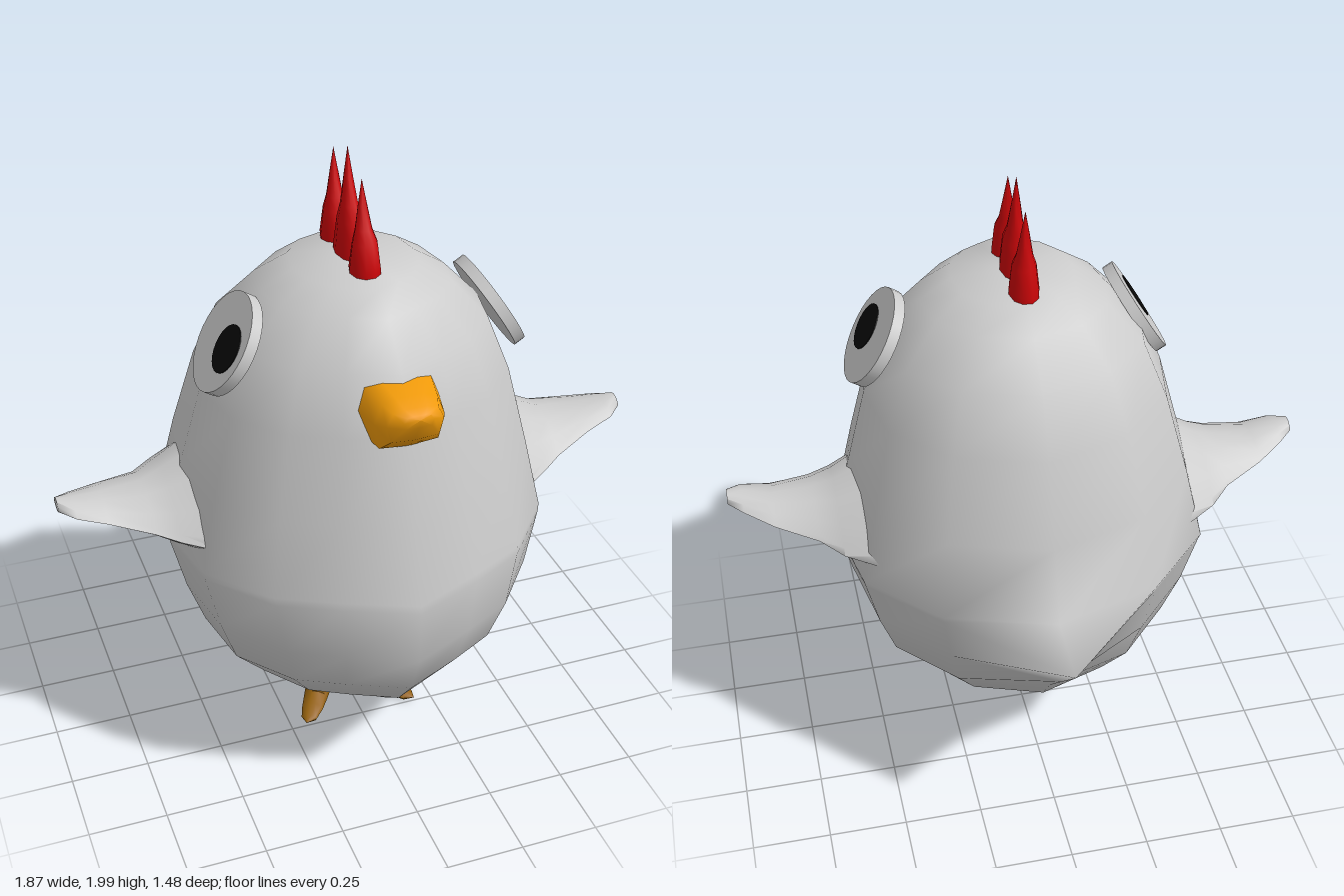
import * as THREE from 'three';
import { toCreasedNormals } from 'three/addons/utils/BufferGeometryUtils.js';

const material = (color) => new THREE.MeshStandardMaterial({ color });
const grey = material(0xcccccc);
const black = material(0x0a0a0a);
const orange = material(0xf09a08);
const brown = material(0x94610f);
const red = material(0xcc0508);

// Skin a closed surface over rings of [x, y, z] points; ends close on the given tips or ring centres.
function loft(rings, { start, end, crease = 1.0 } = {}) {
  const n = rings[0].length;
  const centre = (r) => [0, 1, 2].map((k) => r.reduce((s, p) => s + p[k], 0) / n);
  const pts = [...rings.flat(), start ?? centre(rings[0]), end ?? centre(rings.at(-1))];
  const a = pts.length - 2, b = pts.length - 1, last = (rings.length - 1) * n;
  const tris = [];
  for (let j = 0; j < n; j++) {
    const k = (j + 1) % n;
    tris.push([a, k, j], [b, last + j, last + k]);
    for (let i = 0; i < last; i += n) {
      tris.push([i + j, i + k, i + n + k], [i + j, i + n + k, i + n + j]);
    }
  }
  // Turn the faces outward when the enclosed volume comes out negative
  const v = pts.map((p) => new THREE.Vector3(...p));
  const volume = tris.reduce((s, [p, q, r]) => s + v[p].dot(v[q].clone().cross(v[r])), 0);
  if (volume < 0) tris.forEach((t) => t.reverse());
  const geo = new THREE.BufferGeometry();
  geo.setAttribute('position', new THREE.Float32BufferAttribute(pts.flat(), 3));
  geo.setIndex(tris.flat());
  return toCreasedNormals(geo, crease);
}

const circle = (n, fn) => Array.from({ length: n }, (_, i) => {
  const t = (i / n) * Math.PI * 2;
  return fn(Math.cos(t), Math.sin(t));
});

function part(name, geometry, mat) {
  const mesh = new THREE.Mesh(geometry, mat);
  mesh.name = name;
  return mesh;
}

// Egg-shaped body with a keeled front and a pointed tail
function makeBody() {
  const half = [[0, 1], [0.36, 0.85], [0.65, 0.71], [0.92, 0.4], [1, 0], [0.91, -0.48], [0.56, -0.83], [0, -1]];
  const outline = [...half, ...half.slice(1, -1).reverse().map(([x, z]) => [-x, z])];
  // height, half width, front z, back z, tail z
  const sections = [
    [0.2, 0.1, 0.2, -0.08], [0.25, 0.25, 0.47, -0.23], [0.33, 0.39, 0.57, -0.33],
    [0.45, 0.5, 0.67, -0.42], [0.6, 0.555, 0.73, -0.48, -0.565], [0.78, 0.6, 0.735, -0.52, -0.74],
    [0.805, 0.605, 0.73, -0.53], [1.04, 0.55, 0.665, -0.46], [1.3, 0.48, 0.6, -0.365],
    [1.48, 0.405, 0.535, -0.28], [1.6, 0.29, 0.425, -0.16], [1.663, 0.19, 0.36, -0.08],
  ];
  const rings = sections.map(([y, w, f, b, tail]) => outline.map(([x, z]) =>
    [x * w, y, z === -1 && tail ? tail : (f + b) / 2 + z * (f - b) / 2]));
  return part('body', loft(rings, { start: [0, 0.19, 0], end: [0, 1.685, 0.12], crease: 2.2 }), grey);
}

// Stubby wing with thin edges that melt into the body
function makeWing(side) {
  // x, bottom, top, back z, front z
  const sections = [
    [0.48, 0.74, 1.08, -0.24, 0.38], [0.6, 0.8, 1.02, -0.165, 0.3], [0.67, 0.845, 0.995, -0.095, 0.255],
    [0.8, 0.905, 0.985, -0.035, 0.2], [0.89, 0.94, 0.997, 0.025, 0.18], [0.937, 0.96, 1.0, 0.065, 0.14],
  ];
  const rings = sections.map(([x, y0, y1, z0, z1]) => circle(16, (c, s) => {
    const edge = y0 + (y1 - y0) * 0.4;
    return [side * x, edge + s * s * ((s > 0 ? y1 : y0) - edge), (z0 + z1) / 2 + c * (z1 - z0) / 2];
  }));
  return part(side > 0 ? 'leftWing' : 'rightWing', loft(rings, { crease: 1.4 }), grey);
}

// Tilted disc eye with an offset pupil; the two sit slightly unevenly
function makeEye(side) {
  const eye = new THREE.Group();
  eye.name = side > 0 ? 'leftEye' : 'rightEye';
  const white = part('eyeDisc', new THREE.CylinderGeometry(0.158, 0.158, 0.036, 32), grey);
  const pupil = part('pupil', new THREE.CylinderGeometry(0.075, 0.075, 0.006, 24), black);
  pupil.position.set(0, 0.018, 0.05);
  eye.add(white, pupil);
  eye.position.set(side > 0 ? 0.43 : -0.403, 1.467, 0.168);
  eye.rotation.z = -side * 1.017;
  return eye;
}

// Short faceted beak, notched where it meets the face
function makeBeak() {
  const shape = [[1, 0.1], [0.78, 0.85], [0.4, 1], [0, 1], [-0.4, 1], [-0.78, 0.85], [-1, 0.1], [-0.85, -0.9], [0, -1], [0.85, -0.9]];
  // z, half width, bottom, top
  const sections = [[0.48, 0.133, 1.29, 1.457], [0.6, 0.106, 1.285, 1.447], [0.645, 0.086, 1.33, 1.434], [0.672, 0.045, 1.385, 1.424]];
  const rings = sections.map(([z, w, y0, y1], i) => shape.map(([x, y]) =>
    [x * w, (y0 + y1) / 2 + y * (y1 - y0) / 2, i ? z : z + 0.06 * (1 - Math.abs(x))]));
  return part('beak', loft(rings, { end: [0, 1.415, 0.682] }), orange);
}

// One spike of the comb: bulging base, drawn out to a thin tip
function makeSpike(name, z0, z1, tipZ, tipY) {
  const mid = (z0 + z1) / 2, r = (z1 - z0) / 2, h = tipY - 1.64, x = -0.005;
  // height share, depth share, half width, lean toward the tip
  const sections = [[0, 1, 0.045, 0], [0.14, 0.98, 0.047, 0], [0.4, 0.72, 0.038, 0.05], [0.52, 0.46, 0.026, 0.4], [0.75, 0.2, 0.014, 0.75]];
  const rings = sections.map(([t, d, w, lean]) => circle(10, (c, s) =>
    [x + c * w, 1.64 + t * h, mid + (tipZ - mid) * lean + s * d * r]));
  return part(name, loft(rings, { end: [x, tipY, tipZ] }), red);
}

// Leg bending into a single toe that points forward and outward
function makeLeg(side) {
  // centre x, y, z, radius, vertical radius, pitch from upright to forward
  const sections = [
    [0.102, 0.24, 0.115, 0.047, 0.047, 0], [0.102, 0.1, 0.115, 0.046, 0.046, 0], [0.104, 0.055, 0.117, 0.045, 0.045, 0.5],
    [0.124, 0.034, 0.145, 0.041, 0.026, 1.3], [0.152, 0.025, 0.19, 0.036, 0.019, 1.57], [0.178, 0.02, 0.23, 0.026, 0.014, 1.57],
  ];
  const yaw = 0.55, sy = Math.sin(yaw), cy = Math.cos(yaw);
  const rings = sections.map(([x, y, z, rx, rv, pitch]) => circle(10, (c, s) => {
    const across = c * rx, along = s * rv * Math.cos(pitch), up = s * rv * Math.sin(pitch);
    return [side * (x + across * cy + along * sy) - 0.007, y + up, z - across * sy + along * cy];
  }));
  return part(side > 0 ? 'leftLeg' : 'rightLeg', loft(rings, { end: [side * 0.194 - 0.007, 0.02, 0.252] }), brown);
}

export function createModel() {
  const model = new THREE.Group();
  model.name = 'chicken';
  model.add(makeBody(), makeBeak());
  for (const side of [1, -1]) model.add(makeWing(side), makeEye(side), makeLeg(side));
  model.add(
    makeSpike('frontCombSpike', 0.19, 0.3, 0.213, 1.945),
    makeSpike('middleCombSpike', 0.045, 0.2, 0.095, 2.0),
    makeSpike('backCombSpike', -0.07, 0.055, -0.027, 1.95),
  );
  return model;
}
